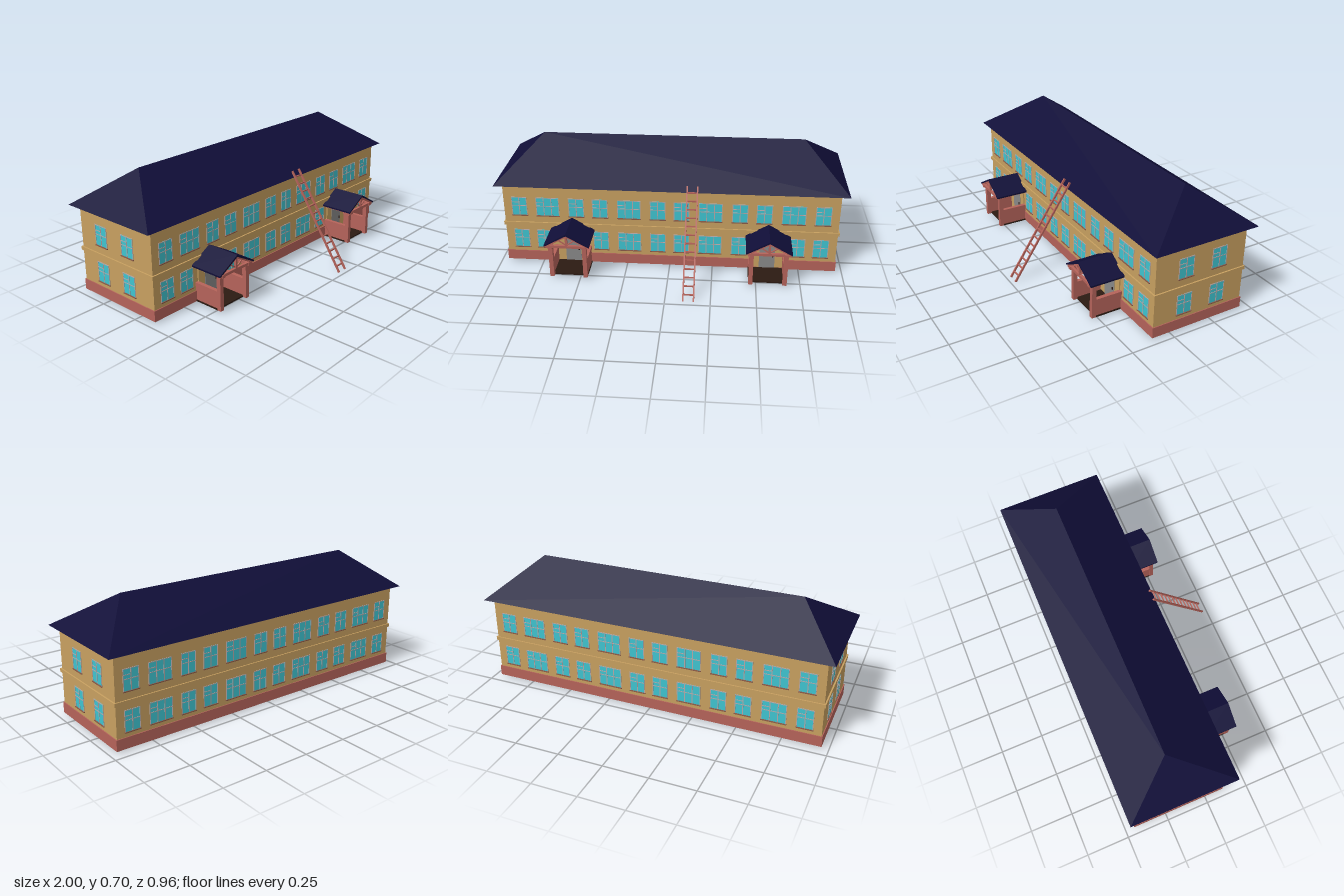
import * as THREE from 'three';
import { ConvexGeometry } from 'three/addons/geometries/ConvexGeometry.js';

const mat = (color) => new THREE.MeshStandardMaterial({ color, flatShading: true });
const M = {
  wall: mat(0xc8a060), brick: mat(0xb5635a), roof: mat(0x100e38), glass: mat(0x3fc4d0),
  frame: mat(0xb4aaaa), sill: mat(0x8a5a48), door: mat(0x888888), floor: mat(0x2c1a12),
  ladder: mat(0xb5635a), under: mat(0xcccccc),
};

// Box given by its minimum and maximum on each axis
function box(parent, name, m, x0, x1, y0, y1, z0, z1) {
  const mesh = new THREE.Mesh(new THREE.BoxGeometry(x1 - x0, y1 - y0, z1 - z0), m);
  mesh.position.set((x0 + x1) / 2, (y0 + y1) / 2, (z0 + z1) / 2);
  mesh.name = name;
  parent.add(mesh);
  return mesh;
}

// Square bar between two points
function bar(parent, name, m, a, b, w, d) {
  const p = new THREE.Vector3(...a), q = new THREE.Vector3(...b);
  const dir = q.clone().sub(p);
  const mesh = new THREE.Mesh(new THREE.BoxGeometry(w, dir.length(), d), m);
  mesh.position.copy(p).add(q).multiplyScalar(0.5);
  mesh.quaternion.setFromUnitVectors(new THREE.Vector3(0, 1, 0), dir.normalize());
  mesh.name = name;
  parent.add(mesh);
  return mesh;
}

// Window facing +z, with its bottom centre at the origin
function makeWindow(w) {
  const g = new THREE.Group(), h = 0.115, t = 0.004, r = w / 2;
  g.name = 'window';
  box(g, 'glass', M.glass, -r, r, 0, h, -0.004, 0.001);
  for (const s of [-1, 1]) box(g, 'sideFrame', M.frame, s * r - t / 2, s * r + t / 2, 0, h, -0.002, 0.003);
  box(g, 'topFrame', M.frame, -r, r, h - t, h, -0.002, 0.003);
  const mullions = w > 0.1 ? [-w / 6, w / 6] : [0];
  for (const x of mullions) box(g, 'mullion', M.frame, x - 0.0025, x + 0.0025, 0, h, -0.002, 0.003);
  box(g, 'transom', M.frame, -r, r, 0.059, 0.063, -0.002, 0.003);
  box(g, 'ventTransom', M.frame, -r, mullions[0], 0.081, 0.085, -0.002, 0.003);
  box(g, 'sill', M.sill, -r - 0.004, r + 0.004, -0.004, 0.001, -0.002, 0.006);
  return g;
}

// Entrance porch, centred on x = 0
function makePorch() {
  const g = new THREE.Group();
  g.name = 'porch';
  box(g, 'entrancePanel', M.wall, -0.09, 0.09, 0.02, 0.2, 0.1, 0.112);
  box(g, 'door', M.door, -0.045, 0.045, 0.02, 0.18, 0.1, 0.115);
  box(g, 'doorHandle', M.floor, 0.03, 0.036, 0.09, 0.105, 0.114, 0.119);
  box(g, 'floor', M.floor, -0.108, 0.108, 0.01, 0.018, 0.1, 0.262);
  for (const s of [-1, 1]) {
    const X = (a, b) => (s > 0 ? [a, b] : [-b, -a]);
    box(g, 'post', M.brick, ...X(0.084, 0.108), 0.01, 0.21, 0.26, 0.285);
    box(g, 'sideWall', M.brick, ...X(0.09, 0.104), 0.014, 0.098, 0.105, 0.262);
    box(g, 'handrail', M.brick, ...X(0.086, 0.108), 0.098, 0.118, 0.105, 0.262);
    box(g, 'sideBeam', M.brick, ...X(0.086, 0.108), 0.203, 0.22, 0.105, 0.302);
    // Sloped roof slab
    const slope = new THREE.Shape([[0, 0.298], [0.128, 0.224], [0.128, 0.215], [0, 0.287]]
      .map(([x, y]) => new THREE.Vector2(s * x, y)));
    const slab = new THREE.Mesh(
      new THREE.ExtrudeGeometry(slope, { depth: 0.2, bevelEnabled: false }), M.roof);
    slab.position.z = 0.105;
    slab.name = 'porchRoof';
    g.add(slab);
    // Rafters under the slab
    for (const z of [0.12, 0.16, 0.2, 0.24, 0.295])
      bar(g, 'rafter', M.brick, [s * 0.002, 0.282, z], [s * 0.122, 0.214, z], 0.011, 0.01);
    bar(g, 'strut', M.brick, [0, 0.225, 0.295], [s * 0.045, 0.255, 0.295], 0.006, 0.006);
  }
  box(g, 'frontBeam', M.brick, -0.12, 0.12, 0.207, 0.222, 0.285, 0.3);
  box(g, 'kingPost', M.brick, -0.006, 0.006, 0.22, 0.284, 0.288, 0.3);
  return g;
}

export function createModel() {
  const root = new THREE.Group();
  root.name = 'building';

  // Main volume
  box(root, 'plinth', M.brick, -0.962, 0.962, 0.01, 0.07, -0.448, 0.11);
  box(root, 'walls', M.wall, -0.957, 0.957, 0.07, 0.502, -0.443, 0.105);
  box(root, 'beltCourse', M.wall, -0.965, 0.965, 0.242, 0.262, -0.45, 0.113);

  // Panels on the underside
  box(root, 'undersidePanel', M.under, -0.6, -0.48, 0.009, 0.012, -0.4, 0.09);
  box(root, 'undersideStrip', M.wall, -0.72, -0.695, 0.009, 0.012, -0.42, 0.1);

  // Hipped roof
  const pts = [[-0.76, 0.705, -0.19], [0.76, 0.705, -0.19]];
  for (const x of [-1, 1]) for (const z of [-0.48, 0.14]) pts.push([x, 0.5, z]);
  const roof = new THREE.Mesh(
    new ConvexGeometry(pts.map((p) => new THREE.Vector3(...p))), M.roof);
  roof.name = 'roof';
  root.add(roof);

  // Windows
  const place = (w, x, y, z, ry) => {
    const win = makeWindow(w);
    win.position.set(x, y, z);
    win.rotation.y = ry;
    root.add(win);
  };
  const S = 0.085, L = 0.13, low = 0.096, high = 0.306;
  const row = [[0.867, S], [0.703, L], [0.537, S], [0.4, S], [0.233, L], [0.068, S]];
  const lowerFront = [[0.867, S], [0.733, S], [0.4, S], [0.233, L], [0.068, S]];
  for (const s of [-1, 1]) {
    for (const [x, w] of row) {
      place(w, s * x, high, 0.105, 0);
      for (const y of [low, high]) place(w, s * x, y, -0.443, Math.PI);
    }
    for (const [x, w] of lowerFront) place(w, s * x, low, 0.105, 0);
    for (const z of [-0.077, -0.281])
      for (const y of [low, high]) place(0.087, s * 0.957, y, z, s * Math.PI / 2);
    const porch = makePorch();
    porch.position.x = s * 0.565;
    root.add(porch);
  }

  // Ladder leaning on the eave
  const ladder = new THREE.Group();
  ladder.name = 'ladder';
  for (const x of [0.1, 0.158])
    bar(ladder, 'ladderRail', M.ladder, [x, 0.004, 0.474], [x, 0.534, 0.125], 0.008, 0.011);
  for (let i = 0; i < 13; i++) {
    const t = 0.06 + i * 0.0735;
    const y = 0.004 + 0.53 * t, z = 0.474 - 0.349 * t;
    bar(ladder, 'rung', M.ladder, [0.1, y, z], [0.158, y, z], 0.007, 0.007);
  }
  root.add(ladder);
  return root;
}
